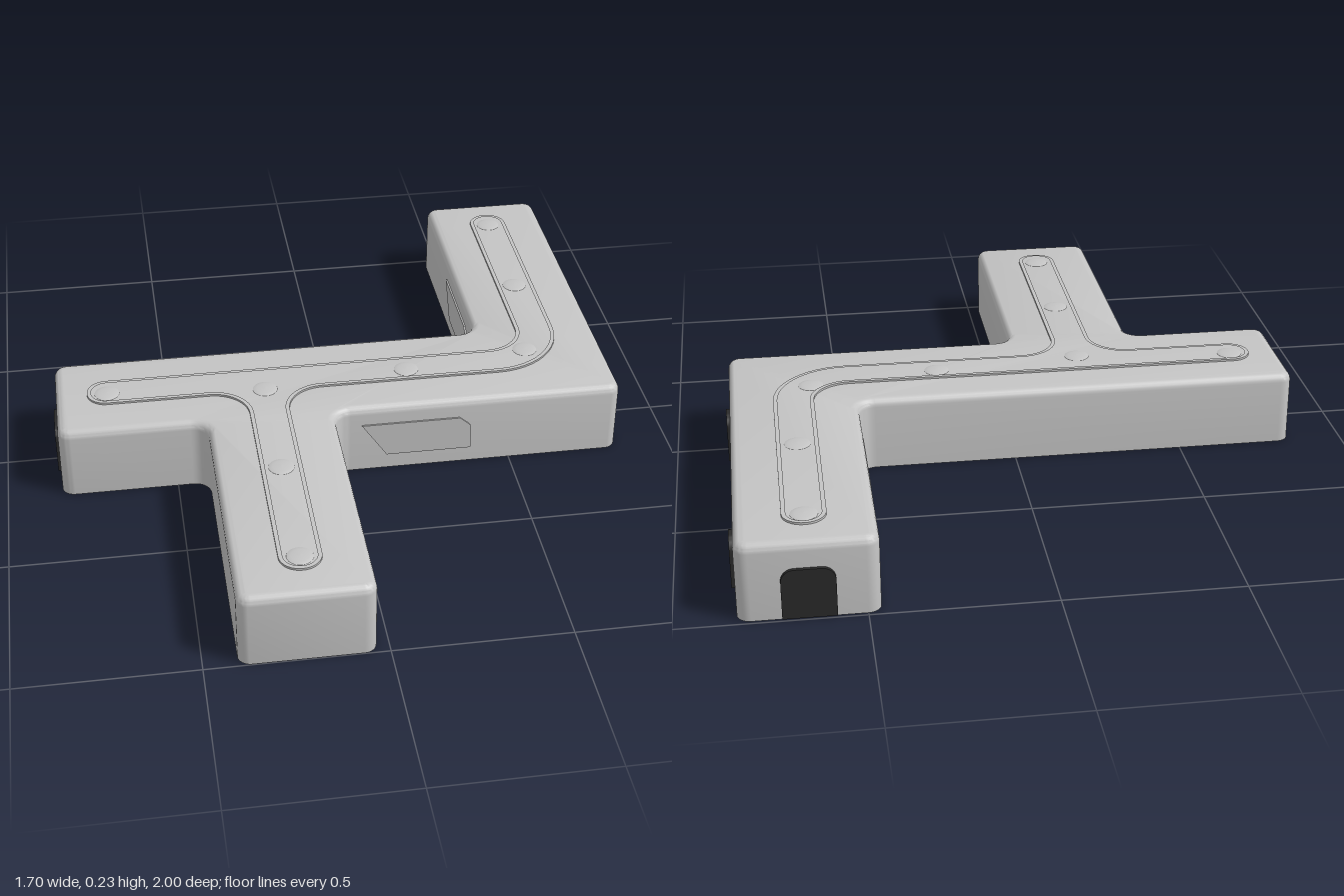
import * as THREE from 'three';
import { toCreasedNormals } from 'three/addons/utils/BufferGeometryUtils.js';

const shellGrey = new THREE.MeshStandardMaterial({ color: 0xc4c4c4 });
shellGrey.name = 'shellGrey';
const portBlack = new THREE.MeshStandardMaterial({ color: 0x2a2a2a });
portBlack.name = 'portBlack';

// Closed path with rounded right-angle corners; each corner is [x, y, radius]
function roundedPath(corners, PathType = THREE.Shape) {
  const path = new PathType();
  const n = corners.length;
  corners.forEach(([x, y, r], i) => {
    const toward = ([px, py], dist) => {
      const len = Math.hypot(px - x, py - y);
      return [x + (px - x) / len * dist, y + (py - y) / len * dist];
    };
    const prev = corners[(i + n - 1) % n], next = corners[(i + 1) % n];
    const start = toward(prev, r), end = toward(next, r);
    if (i === 0) path.moveTo(...start); else path.lineTo(...start);
    if (r > 0) path.bezierCurveTo(...toward(prev, r * 0.4477), ...toward(next, r * 0.4477), ...end);
  });
  path.closePath();
  return path;
}

// Outline of the branching plan: a bar, a bent arm to the back and a stem to the front
function branchOutline(half, ends, radii, PathType) {
  const { zMid = 0, bar = 0, arm = 0.65, stem = -0.22 } = { zMid: ends.zMid };
  const { tip, bendOut, bendIn, tee } = radii;
  const top = -(zMid + bar - half), low = -(zMid + bar + half);
  return roundedPath([
    [ends.left, top, tip],
    [arm - half, top, bendIn],
    [arm - half, -ends.back, tip],
    [arm + half, -ends.back, tip],
    [arm + half, low, bendOut],
    [stem + half, low, tee],
    [stem + half, -ends.front, tip],
    [stem - half, -ends.front, tip],
    [stem - half, low, tee],
    [ends.left, low, tip],
  ], PathType);
}

function add(group, geometry, material, name) {
  const mesh = new THREE.Mesh(geometry, material);
  mesh.name = name;
  group.add(mesh);
  return mesh;
}

// Body: rounded upper edge, lower bevel flattened into a sharp foot
function bodyGeometry() {
  const bevel = 0.025, height = 0.22;
  const shape = branchOutline(0.186, { left: -0.84, back: -0.99, front: 0.998, zMid: 0.004 },
    { tip: 0.036, bendOut: 0.036, bendIn: 0.05, tee: 0.05 });
  const geo = new THREE.ExtrudeGeometry(shape, {
    depth: height - bevel, bevelEnabled: true, bevelThickness: bevel, bevelSize: bevel,
    bevelOffset: -bevel, bevelSegments: 5, curveSegments: 8,
  });
  geo.rotateX(-Math.PI / 2);
  const p = geo.attributes.position;
  for (let i = 0; i < p.count; i++) p.setY(i, Math.max(0, p.getY(i)));
  return toCreasedNormals(geo, 0.6);
}

// Thin raised rim that follows the middle of the body
function rimGeometry() {
  const outline = (inset, PathType) => {
    const h = 0.059 - inset;
    return branchOutline(h, { left: -0.688 - h, back: -0.84 - h, front: 0.84 + h, zMid: 0 },
      { tip: h * 0.98, bendOut: 0.22 - inset, bendIn: 0.11 + inset, tee: 0.11 + inset }, PathType);
  };
  const shape = outline(0);
  shape.holes.push(outline(0.012, THREE.Path));
  const geo = new THREE.ExtrudeGeometry(shape, { depth: 0.012, bevelEnabled: false, curveSegments: 12 });
  geo.rotateX(-Math.PI / 2);
  return toCreasedNormals(geo, 0.6);
}

// Upright plate standing out from a wall
function wallPlate(corners, depth) {
  return toCreasedNormals(new THREE.ExtrudeGeometry(roundedPath(corners),
    { depth, bevelEnabled: false, curveSegments: 8 }), 0.6);
}

export function createModel() {
  const model = new THREE.Group();
  model.name = 'branchingBar';

  add(model, bodyGeometry(), shellGrey, 'body');
  add(model, rimGeometry(), shellGrey, 'trackRim').position.y = 0.214;

  // Low round buttons along the track
  const buttonGeo = new THREE.LatheGeometry([
    [0.037, 0], [0.036, 0.002], [0.025, 0.004], [0.012, 0.005], [0, 0.0055],
  ].map(([r, y]) => new THREE.Vector2(r, y)), 28);
  const buttons = [
    [-0.688, 0], [-0.22, 0.045], [-0.22, 0.44], [-0.22, 0.84],
    [0.215, 0], [0.595, -0.055], [0.65, -0.435], [0.65, -0.84],
  ];
  for (const [x, z] of buttons) {
    add(model, buttonGeo, shellGrey, 'trackButton').position.set(x, 0.2195, z);
  }

  // Black ports: narrow on the right-angle side, wide on the two ends
  const port = (width, r) => wallPlate([
    [-width / 2, 0.005, 0], [width / 2, 0.005, 0], [width / 2, 0.147, r], [-width / 2, 0.147, r],
  ], 0.014);
  const narrow = port(0.092, 0.04), wide = port(0.142, 0.035);
  const ports = [
    [narrow, 0.834, -0.045, Math.PI / 2, 'sidePort'],
    [narrow, 0.834, -0.78, Math.PI / 2, 'sidePort'],
    [wide, -0.836, 0, -Math.PI / 2, 'endPort'],
    [wide, 0.65, -0.986, Math.PI, 'backPort'],
  ];
  for (const [geo, x, z, turn, name] of ports) {
    const mesh = add(model, geo, portBlack, name);
    mesh.position.set(x, 0, z);
    mesh.rotation.y = turn;
  }

  // Plain raised panels on the front wall and the inner wall of the arm
  const panelGeo = wallPlate([
    [-0.09, 0.05, 0], [0.165, 0.05, 0], [0.165, 0.13, 0.01], [0.13, 0.16, 0], [-0.165, 0.16, 0],
  ], 0.007);
  const panels = [[0.215, 0.188, 0, 'frontPanel'], [0.466, -0.435, -Math.PI / 2, 'armPanel']];
  for (const [x, z, turn, name] of panels) {
    const mesh = add(model, panelGeo, shellGrey, name);
    mesh.position.set(x, 0, z);
    mesh.rotation.y = turn;
  }

  return model;
}
